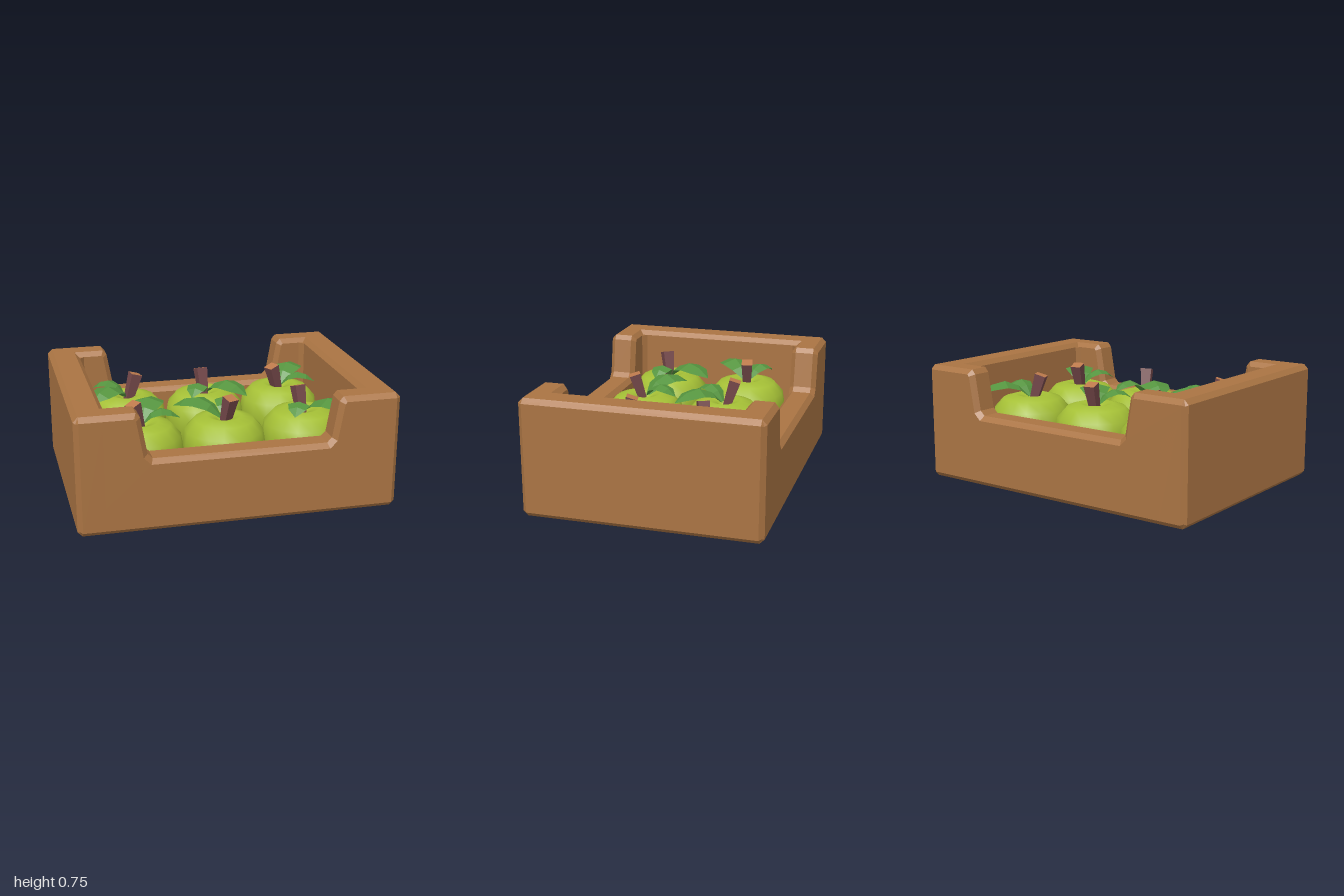
import * as THREE from 'three';

const wood = new THREE.MeshStandardMaterial({ color: 0xaa7443 });
wood.name = 'crate wood';
const skin = new THREE.MeshStandardMaterial({ color: 0xa5c036 });
skin.name = 'apple green';
const leafGreen = new THREE.MeshStandardMaterial({ color: 0x55943f, side: THREE.DoubleSide });
leafGreen.name = 'leaf green';
const bark = new THREE.MeshStandardMaterial({ color: 0x75484a });
bark.name = 'stem bark';
const cut = new THREE.MeshStandardMaterial({ color: 0xbd7a4c });
cut.name = 'stem cut end';

const BEVEL = 0.03;

function add(parent, name, geometry, material) {
  const mesh = new THREE.Mesh(geometry, material);
  mesh.name = name;
  parent.add(mesh);
  return mesh;
}

// Wall with chamfered edges, centred on its own thickness
function wallGeometry(points, thickness) {
  const shape = new THREE.Shape(points.map(([x, y]) => new THREE.Vector2(x, y)));
  const geometry = new THREE.ExtrudeGeometry(shape, {
    depth: thickness - 2 * BEVEL, bevelEnabled: true, bevelSegments: 1,
    bevelSize: BEVEL, bevelThickness: BEVEL, bevelOffset: -BEVEL,
  });
  return geometry.translate(0, 0, BEVEL - thickness / 2);
}

function mirrored(half) {
  return [...half, ...half.map(([x, y]) => [-x, y]).reverse()];
}

function createCrate() {
  const crate = new THREE.Group();
  crate.name = 'crate';

  // Front and back walls with the wide hand notch
  const notched = wallGeometry(mirrored([
    [0.97, 0], [1, 0.03], [1, 0.72], [0.97, 0.75],
    [0.635, 0.75], [0.61, 0.72], [0.57, 0.49], [0.54, 0.46],
  ]), 0.18);
  // Full-height side walls
  const plain = wallGeometry(mirrored([
    [0.72, 0], [0.75, 0.03], [0.75, 0.72], [0.72, 0.75],
  ]), 0.2);
  for (const s of [1, -1]) {
    add(crate, s > 0 ? 'frontWall' : 'backWall', notched, wood).position.z = s * 0.66;
    const side = add(crate, s > 0 ? 'leftWall' : 'rightWall', plain, wood);
    side.rotation.y = Math.PI / 2;
    side.position.x = s * 0.9;
  }

  add(crate, 'floor', new THREE.BoxGeometry(1.94, 0.08, 1.44), wood).position.y = 0.04;

  // Small 45 degree fillets in the inner corners
  const t = BEVEL * Math.SQRT2;
  for (const s of [1, -1]) {
    const long = add(crate, 'floorFillet', new THREE.BoxGeometry(1.6, t, t), wood);
    long.position.set(0, 0.08, s * 0.57);
    long.rotation.x = Math.PI / 4;
    const short = add(crate, 'floorFillet', new THREE.BoxGeometry(t, t, 1.14), wood);
    short.position.set(s * 0.8, 0.08, 0);
    short.rotation.z = Math.PI / 4;
    for (const q of [1, -1]) {
      const post = add(crate, 'cornerFillet', new THREE.BoxGeometry(t, 0.64, t), wood);
      post.position.set(s * 0.8, 0.4, q * 0.57);
      post.rotation.y = Math.PI / 4;
    }
  }
  return crate;
}

// Arched leaf along +x, folded along its midrib
function leafGeometry(scale) {
  const stations = [ // distance, height, half width
    [0.02, 0.52, 0.015], [0.09, 0.595, 0.07], [0.18, 0.63, 0.1],
    [0.27, 0.61, 0.08], [0.35, 0.555, 0.004],
  ].map(([r, y, w]) => [r * scale, 0.52 + (y - 0.52) * (0.5 + scale / 2), w * scale]);
  const rows = stations.map(([r, y, w]) => [-1, 0, 1].map(
    (k) => [r, y - Math.abs(k) * w * 0.3, k * w]));
  const positions = [];
  for (let i = 0; i < rows.length - 1; i++) {
    for (let k = 0; k < 2; k++) {
      const a = rows[i][k], b = rows[i][k + 1], c = rows[i + 1][k + 1], d = rows[i + 1][k];
      positions.push(...a, ...b, ...c, ...a, ...c, ...d);
    }
  }
  const geometry = new THREE.BufferGeometry();
  geometry.setAttribute('position', new THREE.Float32BufferAttribute(positions, 3));
  geometry.computeVertexNormals();
  return geometry;
}

function createApple() {
  const apple = new THREE.Group();
  apple.name = 'apple';

  // Squat body with a dimple at the top
  const profile = [
    [0, 0.1], [0.08, 0.075], [0.17, 0.1], [0.235, 0.2], [0.266, 0.34], [0.25, 0.445],
    [0.19, 0.512], [0.11, 0.535], [0.05, 0.515], [0, 0.46],
  ].map(([r, y]) => new THREE.Vector2(r, y));
  add(apple, 'appleBody', new THREE.LatheGeometry(profile, 16), skin);

  // Two leaves, large and small
  add(apple, 'largeLeaf', leafGeometry(1), leafGreen);
  add(apple, 'smallLeaf', leafGeometry(0.7), leafGreen).rotation.y = -THREE.MathUtils.degToRad(72);

  // Square stem, flared upward and leaning away from the leaves
  const stemGeometry = new THREE.CylinderGeometry(0.052, 0.032, 0.23, 4).toNonIndexed();
  stemGeometry.computeVertexNormals();
  stemGeometry.rotateY(Math.PI / 4).translate(0, 0.115, 0).rotateZ(-0.3);
  const stem = add(apple, 'stem', stemGeometry, [bark, cut, bark]);
  stem.position.y = 0.445;
  stem.rotation.y = THREE.MathUtils.degToRad(150);
  return apple;
}

export function createModel() {
  const model = new THREE.Group();
  model.name = 'crateOfApples';
  model.add(createCrate());

  // Two rows of three apples: x, z, turn in degrees
  const apple = createApple();
  for (const [x, z, turn] of [
    [-0.53, -0.28, 139], [0, -0.255, 50], [0.53, -0.27, -55],
    [-0.53, 0.28, -65], [0, 0.29, 216], [0.53, 0.265, 47],
  ]) {
    const copy = apple.clone();
    copy.position.set(x, 0, z);
    copy.rotation.y = -THREE.MathUtils.degToRad(turn);
    model.add(copy);
  }
  return model;
}
